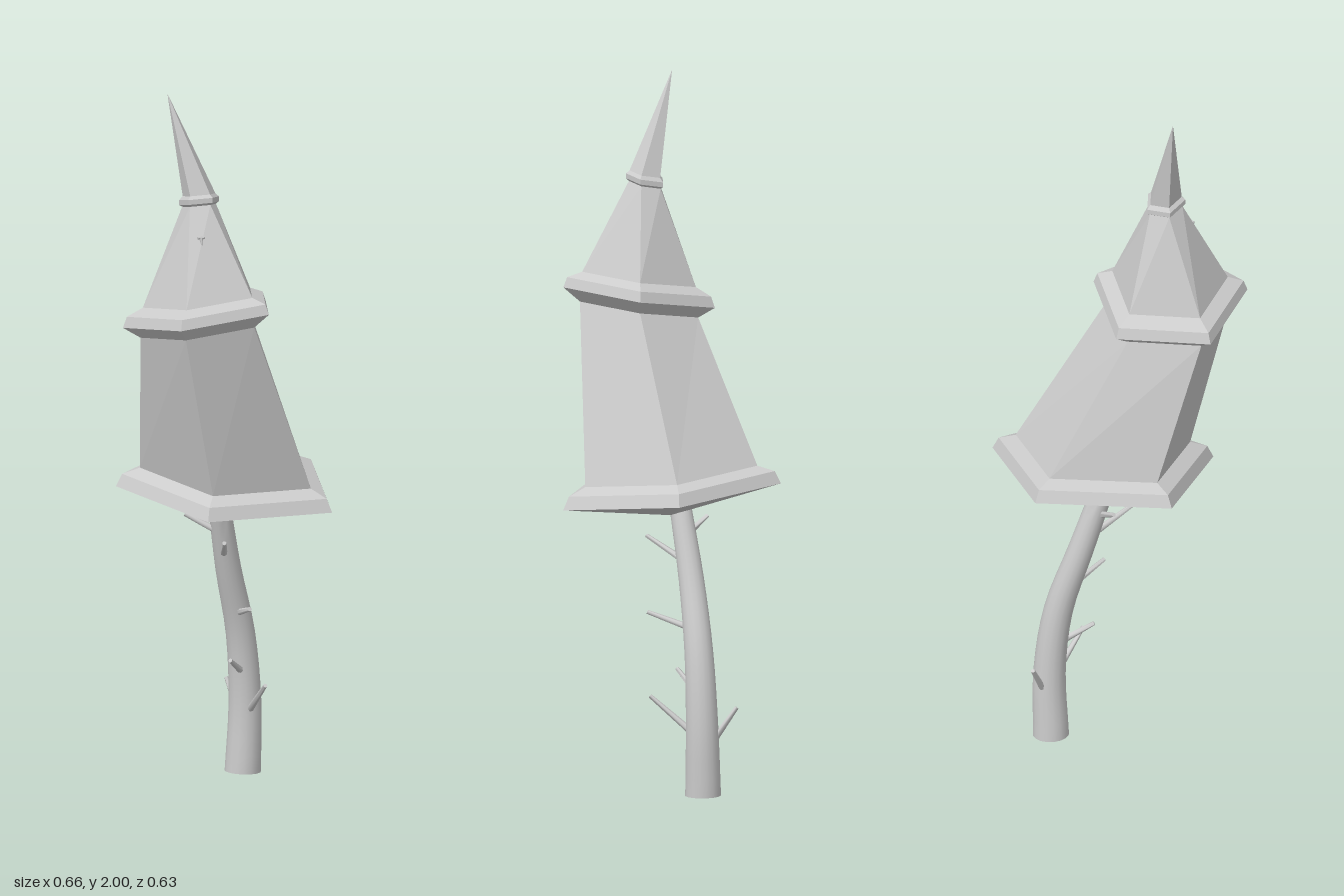
import * as THREE from 'three';
import { toCreasedNormals } from 'three/addons/utils/BufferGeometryUtils.js';

const material = new THREE.MeshStandardMaterial({ color: 0xcccccc });
const v = (x, y, z) => new THREE.Vector3(x, y, z);

// Skin a list of rings (ordered bottom to top, clockwise seen from above)
function loft(name, rings, crease = 0.01) {
  const pos = [];
  const tri = (a, b, c) => {
    if (new THREE.Triangle(a, b, c).getArea() < 1e-9) return;
    for (const p of [a, b, c]) pos.push(p.x, p.y, p.z);
  };
  for (let r = 0; r + 1 < rings.length; r++) {
    const lo = rings[r], up = rings[r + 1], n = lo.length;
    for (let i = 0; i < n; i++) {
      const j = (i + 1) % n;
      tri(lo[j], lo[i], up[i]);
      tri(lo[j], up[i], up[j]);
    }
  }
  const geo = new THREE.BufferGeometry();
  geo.setAttribute('position', new THREE.Float32BufferAttribute(pos, 3));
  const mesh = new THREE.Mesh(toCreasedNormals(geo, crease), material);
  mesh.name = name;
  return mesh;
}

// Tilted pentagon: corners [x, z] lie on the plane y = h + a*x + b*z
function pentagon(corners, h, a, b) {
  const cx = corners.reduce((s, c) => s + c[0], 0) / 5;
  const cz = corners.reduce((s, c) => s + c[1], 0) / 5;
  // scaled about its centre and lifted
  return (scale, lift) => corners.map(([x, z]) => {
    const px = cx + (x - cx) * scale, pz = cz + (z - cz) * scale;
    return v(px, h + a * px + b * pz + lift, pz);
  });
}
const point = (p, n = 5) => Array(n).fill(p);

// Round rod through centre points, with a radius at each and closed ends
function rod(name, pts, radii, sides) {
  const up = v(0, 1, 0);
  const rings = pts.map((p, k) => {
    const dir = pts[Math.min(k + 1, pts.length - 1)].clone().sub(pts[Math.max(k - 1, 0)]).normalize();
    const q = new THREE.Quaternion().setFromUnitVectors(up, dir);
    return Array.from({ length: sides }, (_, i) => {
      const t = (i / sides) * Math.PI * 2;
      return v(Math.sin(t), 0, -Math.cos(t)).multiplyScalar(radii[k]).applyQuaternion(q).add(p);
    });
  });
  return loft(name, [point(pts[0], sides), ...rings, point(pts.at(-1), sides)], 0.9);
}

export function createModel() {
  const model = new THREE.Group();

  // Five-sided rings: back, right, front-right, front-left, left
  const base = pentagon([[0.03, -0.315], [0.33, -0.083], [0.2, 0.272], [-0.183, 0.26], [-0.287, -0.103]], 0.84, -0.02, -0.11);
  const cap = pentagon([[-0.1, -0.103], [0.094, 0.072], [-0.02, 0.313], [-0.281, 0.285], [-0.331, 0.026]], 1.366, 0.087, 0.123);
  const collar = pentagon([[-0.105, 0.045], [-0.069, 0.103], [-0.115, 0.153], [-0.178, 0.128], [-0.172, 0.06]], 1.665, 0, 0.2);

  const wallFoot = base(0.79, 0.055), wallTop = cap(0.78, -0.035);
  const roofFoot = cap(0.75, 0.05), roofTop = collar(0.85, 0);
  const spireFoot = collar(0.82, 0.03);

  model.add(
    loft('floorLedge', [point(v(0.015, 0.773, 0)), base(1, 0), base(0.945, 0.036), wallFoot]),
    loft('walls', [wallFoot, wallTop]),
    loft('eaves', [wallTop, cap(1, 0), cap(0.95, 0.03), roofFoot]),
    loft('roof', [roofFoot, roofTop]),
    loft('collar', [roofTop, collar(1, 0.006), collar(1, 0.02), spireFoot]),
    loft('spire', [spireFoot, point(v(-0.197, 2, 0.037))]),
  );

  // Curved tapering trunk
  const path = new THREE.CatmullRomCurve3([
    v(0.115, 0, -0.11), v(0.121, 0.2, -0.108), v(0.1, 0.4, -0.095),
    v(0.045, 0.6, -0.063), v(-0.005, 0.8, -0.022),
  ]);
  const pts = path.getPoints(16);
  pts[0].y = 0;
  const trunk = rod('trunk', pts, pts.map((_, i) => 0.051 - 0.02 * i / 16), 16);
  model.add(trunk);

  // Twig stubs: root to tip
  const twigs = [
    [v(0.015, 0.65, -0.03), v(-0.04, 0.705, 0.08)],
    [v(0.08, 0.465, -0.07), v(0.05, 0.503, 0.06)],
    [v(0.095, 0.295, -0.08), v(0.03, 0.342, -0.02)],
    [v(0.118, 0.185, -0.07), v(0.108, 0.275, 0.042)],
    [v(0.12, 0.155, -0.14), v(0.112, 0.25, -0.205)],
    [v(-0.005, 0.715, -0.04), v(-0.08, 0.76, -0.085)],
  ];
  for (const [root, tip] of twigs) model.add(rod('twig', [root, tip], [0.01, 0.006], 7));

  // Tiny hook on the front roof face
  const hook = new THREE.Group();
  hook.name = 'roofHook';
  hook.add(
    rod('hookStem', [v(-0.163, 1.605, 0.155), v(-0.163, 1.608, 0.18)], [0.004, 0.004], 6),
    rod('hookBar', [v(-0.174, 1.611, 0.176), v(-0.152, 1.611, 0.176)], [0.004, 0.004], 6),
    rod('hookTip', [v(-0.163, 1.59, 0.184), v(-0.163, 1.61, 0.178)], [0.002, 0.006], 6),
  );
  model.add(hook);
  return model;
}
